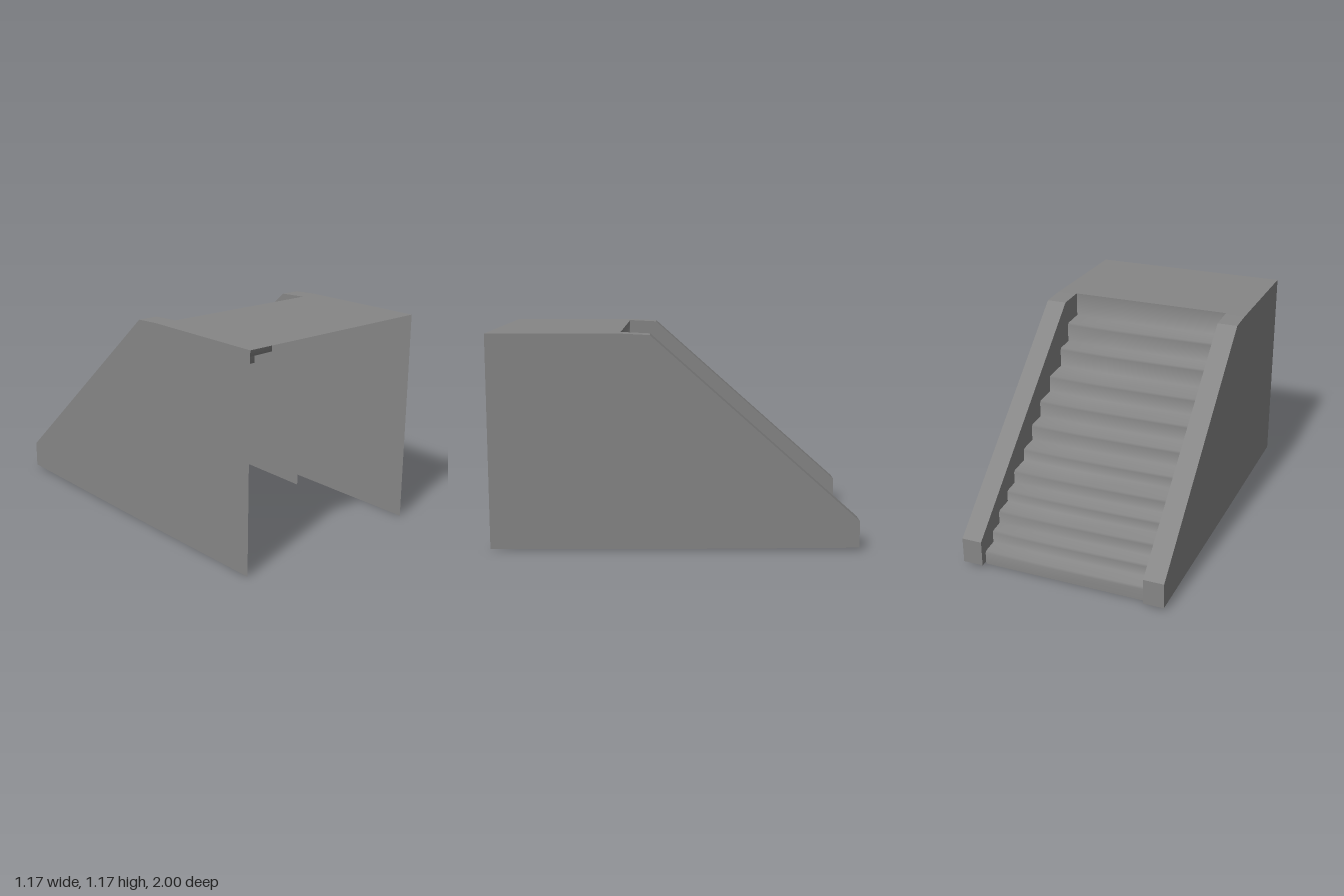
import * as THREE from 'three';

const OUT = 0.585, IN = 0.47, TOP = 1.17;
const flat = new THREE.MeshStandardMaterial({ color: 0x868686, side: THREE.DoubleSide, flatShading: true });
const smooth = new THREE.MeshStandardMaterial({ color: 0x868686, side: THREE.DoubleSide });

function part(name, geometry, material = flat) {
  const mesh = new THREE.Mesh(geometry, material);
  mesh.name = name;
  return mesh;
}

// Open sheet that carries a [z, y] profile across the given x positions
function ribbon(profile, xs) {
  const pos = [], index = [], n = xs.length;
  profile.forEach(([z, y], i) => xs.forEach((x, j) => {
    pos.push(x, y, z);
    if (i === 0 || j === 0) return;
    const d = i * n + j, c = d - 1, b = d - n, a = b - 1;
    index.push(a, b, d, a, d, c);
  }));
  const g = new THREE.BufferGeometry();
  g.setAttribute('position', new THREE.Float32BufferAttribute(pos, 3));
  g.setIndex(index);
  g.computeVertexNormals();
  return g;
}

// Upright sheet at a given x, outlined by [z, y] points
function wall(outline, x) {
  const shape = new THREE.Shape(outline.map(([z, y]) => new THREE.Vector2(z, y)));
  return new THREE.ShapeGeometry(shape).rotateY(-Math.PI / 2).translate(x, 0, 0);
}

// Worn steps with softened noses, treads tilting up slightly and dipping off centre
function stepsGeometry() {
  const riserZ = [-0.96, -0.87, -0.79, -0.685, -0.595, -0.47, -0.36, -0.245, -0.11, 0.045, 0.155, 0.29];
  const treadY = [0.082, 0.16, 0.243, 0.316, 0.399, 0.478, 0.579, 0.682, 0.786, 0.905, 1.025, TOP];
  const bevel = 0.01;
  const profile = [[riserZ[0], 0.003]];
  riserZ.forEach((z, i) => {
    if (i === riserZ.length - 1) return profile.push([z, TOP]);
    profile.push([z, treadY[i] - bevel], [z + bevel, treadY[i]], [riserZ[i + 1], treadY[i] + 0.008]);
  });
  const g = ribbon(profile.reverse(), [-IN, 0.17, IN]);
  const p = g.attributes.position;
  for (let i = 0; i < p.count; i++) {
    const y = p.getY(i);
    if (Math.abs(p.getX(i)) < IN - 0.01 && y > 0.01 && y < TOP - 0.01) p.setY(i, y - 0.006);
  }
  g.computeVertexNormals();
  return g;
}

export function createModel() {
  const group = new THREE.Group();

  // Sloping top edge and low end of each balustrade
  const slope = [[0.29, TOP], [0.27, TOP], [0.13, 1.163], [-1, 0.16], [-1, 0.015]];
  const outerOutline = [[1, 0], [1, TOP], ...slope, [0.1, 0.003]];
  const innerOutline = [[0.29, 0], ...slope, [0.1, 0.003]];

  for (const [side, s] of [['left', 1], ['right', -1]]) {
    group.add(part(side + 'OuterWall', wall(outerOutline, s * OUT)));
    group.add(part(side + 'InnerWall', wall(innerOutline, s * IN)));
    group.add(part(side + 'RailTop', ribbon(slope, s > 0 ? [IN, OUT] : [-OUT, -IN])));
  }

  // Landing
  group.add(part('platform', ribbon([[1, TOP], [0.29, TOP]], [-OUT, OUT])));

  group.add(part('steps', stepsGeometry(), smooth));

  return group;
}
